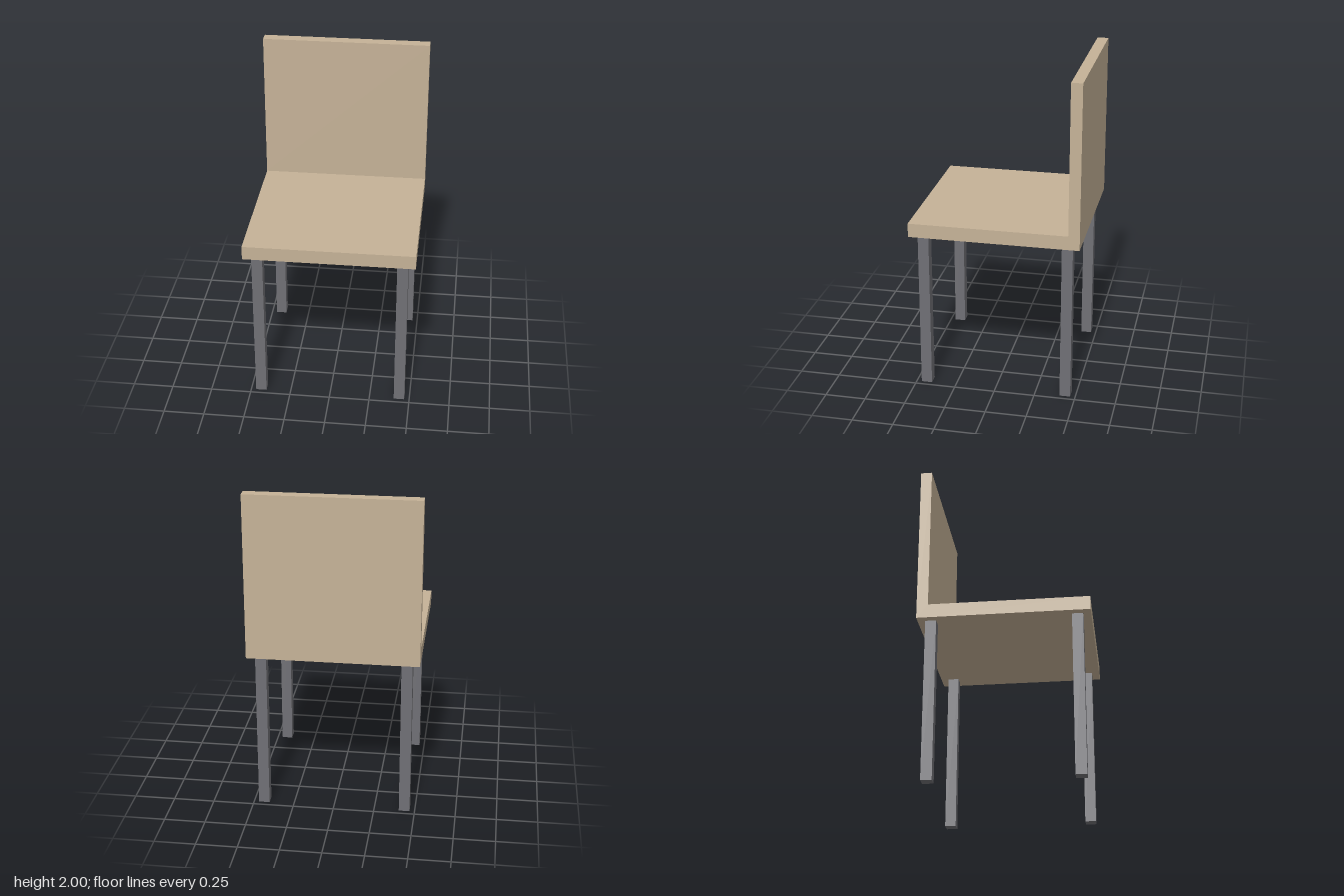
import * as THREE from 'three';

export function createModel() {
  const chair = new THREE.Group();
  chair.name = 'chair';

  const wood = new THREE.MeshStandardMaterial({ name: 'tan wood', color: 0xc5b297 });
  const metal = new THREE.MeshStandardMaterial({ name: 'dark grey metal', color: 0x707075 });

  const half = 0.515;      // half the width and depth of the seat
  const seatBottom = 0.995;
  const seatTop = 1.08;
  const backFront = -0.447;

  // Seat and backrest: one L-shaped side profile (z, y) extruded across the width
  const profile = new THREE.Shape([
    [-half, seatBottom], [half, seatBottom], [half, seatTop],
    [backFront, seatTop], [backFront, 2], [-half, 2],
  ].map(([z, y]) => new THREE.Vector2(z, y)));
  const shellGeometry = new THREE.ExtrudeGeometry(profile, { depth: half * 2, bevelEnabled: false });
  shellGeometry.translate(0, 0, -half).rotateY(-Math.PI / 2);
  const shell = new THREE.Mesh(shellGeometry, wood);
  shell.name = 'seatAndBackrest';
  chair.add(shell);

  // Four square legs
  const legGeometry = new THREE.BoxGeometry(0.066, seatBottom, 0.066);
  for (const [side, x] of [['Left', 0.436], ['Right', -0.436]]) {
    for (const [end, z] of [['front', 0.436], ['back', -0.436]]) {
      const leg = new THREE.Mesh(legGeometry, metal);
      leg.name = `${end}${side}Leg`;
      leg.position.set(x, seatBottom / 2, z);
      chair.add(leg);
    }
  }
  return chair;
}
